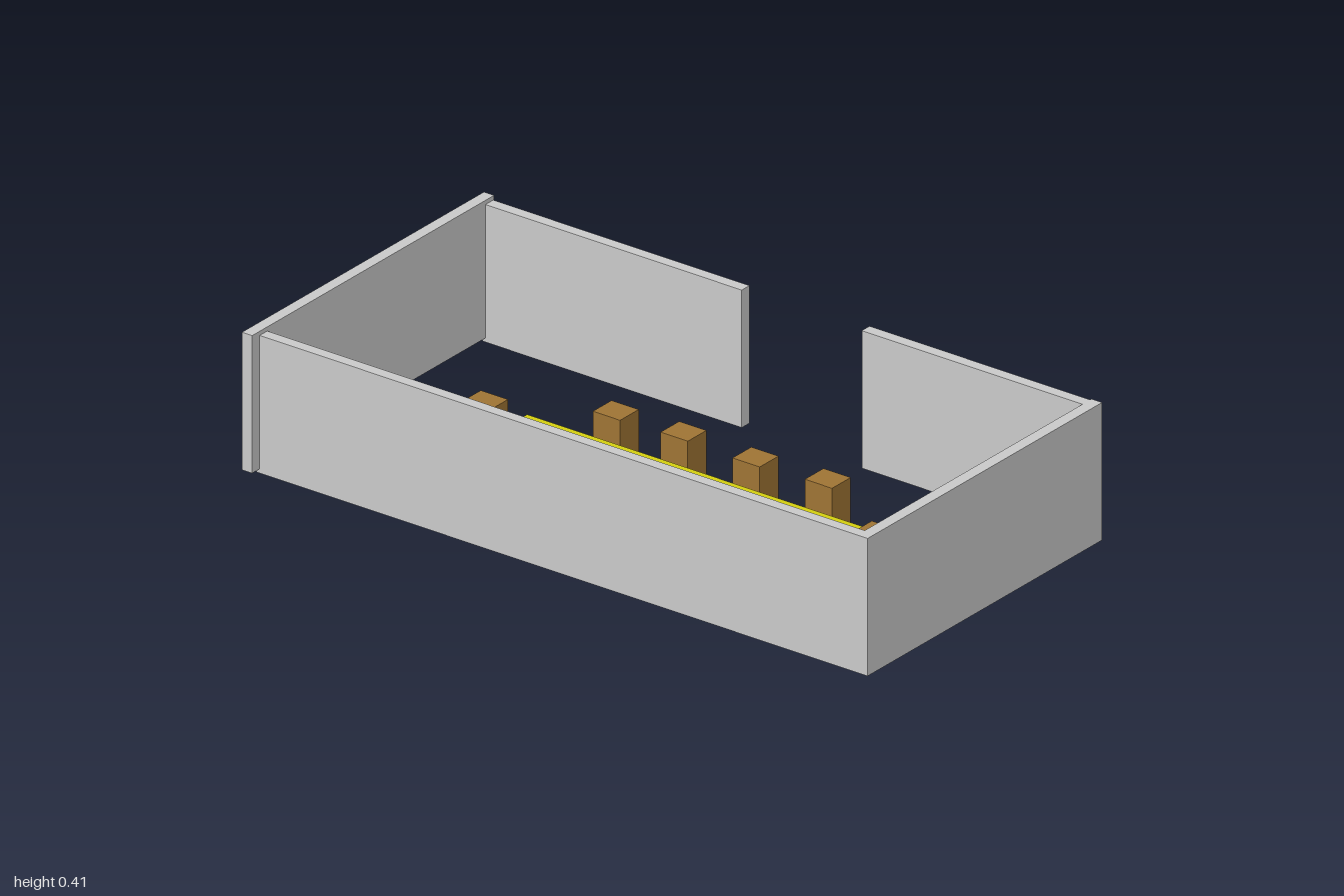
import * as THREE from 'three';

const grey = new THREE.MeshStandardMaterial({ color: 0xcccccc });
const yellow = new THREE.MeshStandardMaterial({ color: 0xd6d010 });
const brown = new THREE.MeshStandardMaterial({ color: 0xa07535 });

// Box given by its extents along each axis
function block(name, material, [x0, x1], [y0, y1], [z0, z1]) {
  const mesh = new THREE.Mesh(new THREE.BoxGeometry(x1 - x0, y1 - y0, z1 - z0), material);
  mesh.position.set((x0 + x1) / 2, (y0 + y1) / 2, (z0 + z1) / 2);
  mesh.name = name;
  return mesh;
}

export function createModel() {
  const model = new THREE.Group();
  model.name = 'diningRoom';

  // Walls: the back one sits slightly higher, the left side has a doorway
  const height = [0, 0.395];
  const walls = new THREE.Group();
  walls.name = 'walls';
  walls.add(
    block('frontWall', grey, [-0.485, 0.515], height, [0.966, 1]),
    block('backWall', grey, [-0.517, 0.515], [0.012, 0.407], [-1, -0.967]),
    block('rightWall', grey, [-0.485, -0.452], height, [-0.977, 0.967]),
    block('leftWallRear', grey, [0.478, 0.511], height, [-0.977, -0.138]),
    block('leftWallFront', grey, [0.476, 0.509], height, [0.252, 0.967]),
  );
  model.add(walls);

  // Long table
  model.add(block('table', yellow, [-0.12, 0.043], [0, 0.1], [-0.502, 0.61]));

  // Chairs: four along each side and one at each end
  const chairs = new THREE.Group();
  chairs.name = 'chairs';
  const rows = [-0.279, -0.066, 0.173, 0.397];
  const leftX = [0.127, 0.135, 0.127, 0.14];
  const spots = [[-0.03, -0.583], [-0.03, 0.682]];
  rows.forEach((z, i) => spots.push([-0.192, z], [leftX[i], z]));
  for (const [x, z] of spots) {
    chairs.add(block('chair', brown, [x - 0.04, x + 0.04], [0, 0.145], [z - 0.044, z + 0.044]));
  }
  model.add(chairs);

  return model;
}
